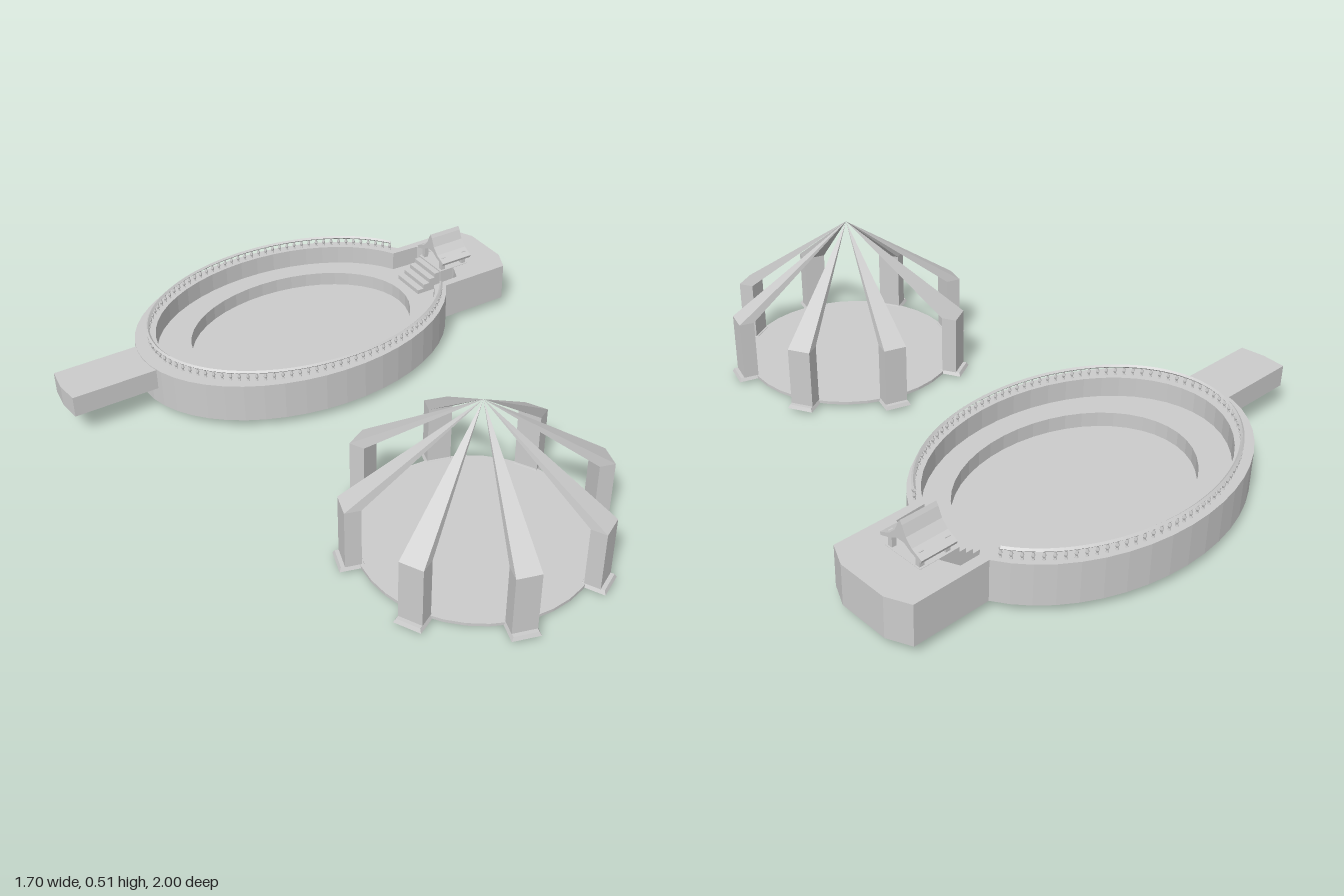
import * as THREE from 'three';

const mat = new THREE.MeshStandardMaterial({ color: 0xcccccc, flatShading: true, side: THREE.DoubleSide });

function add(parent, name, geometry, x = 0, y = 0, z = 0) {
  const mesh = new THREE.Mesh(geometry, mat);
  mesh.name = name;
  mesh.position.set(x, y, z);
  parent.add(mesh);
  return mesh;
}

// Points of an elliptical arc in plan
function arc(cx, rx, rz, from, to, n) {
  return Array.from({ length: n + 1 }, (_, i) => {
    const t = from + (to - from) * i / n;
    return new THREE.Vector2(cx + rx * Math.cos(t), rz * Math.sin(t));
  });
}

const points = (list) => list.map(([x, y]) => new THREE.Vector2(x, y));

// Horizontal slab from a plan outline, with an optional hole
function slab(outline, hole, y0, y1) {
  const shape = new THREE.Shape(outline);
  if (hole) shape.holes.push(new THREE.Path(hole));
  const g = new THREE.ExtrudeGeometry(shape, { depth: y1 - y0, bevelEnabled: false });
  return g.rotateX(-Math.PI / 2).translate(0, y0, 0);
}

function createPavilion() {
  const g = new THREE.Group();
  g.name = 'pavilion';
  g.position.set(-0.034, 0, 0.582);

  // Round floor with a very shallow conical underside
  add(g, 'pavilionFloor', new THREE.LatheGeometry(
    points([[0, 0], [0.364, 0.012], [0.364, 0.022], [0, 0.022]]), 36));

  // Eight columns, each with a foot and a rafter tapering to the apex
  for (let i = 0; i < 8; i++) {
    const leg = new THREE.Group();
    leg.name = 'columnAndRafter';
    leg.rotation.y = THREE.MathUtils.degToRad(28 + 45 * i);
    g.add(leg);
    add(leg, 'column', new THREE.BoxGeometry(0.05, 0.21, 0.076), 0.382, 0.12, 0);

    const rafter = new THREE.BoxGeometry(0.05, 0.29, 0.076).translate(0.382, 0.37, 0);
    const p = rafter.attributes.position;
    for (let k = 0; k < p.count; k++) if (p.getY(k) > 0.4) p.setXYZ(k, 0, 0.512, 0);
    rafter.computeVertexNormals();
    add(leg, 'rafter', rafter);

    const foot = new THREE.CylinderGeometry(0.06, 0.07, 0.012, 4, 1).rotateY(Math.PI / 4);
    add(leg, 'columnFoot', foot.scale(0.8, 1, 0.88), 0.385, 0.018, 0);
  }
  return g;
}

function createPool() {
  const g = new THREE.Group();
  g.name = 'pool';
  g.position.z = -0.577;
  const TAU = Math.PI * 2;

  // Outer wall: an ellipse joined to the entrance platform
  const a = Math.asin(0.16 / 0.42), b = Math.asin(0.135 / 0.38);
  const outer = [...arc(0.015, 0.58, 0.42, a, TAU - a, 44),
    ...points([[0.81, -0.16], [0.845, -0.085], [0.845, 0.085], [0.81, 0.16]])];
  const inner = [...arc(0.03, 0.52, 0.38, b, TAU - b, 44),
    ...points([[0.62, -0.13], [0.645, -0.075], [0.645, 0.075], [0.62, 0.13]])];
  add(g, 'outerWall', slab(outer, inner, 0.032, 0.168));

  // Inner ledge and sunken floor
  add(g, 'innerLedge', slab(inner, arc(0.045, 0.412, 0.305, 0, TAU, 44), 0.032, 0.1));
  add(g, 'poolFloor', slab(arc(0.045, 0.44, 0.335, 0, TAU, 44), null, 0.022, 0.05));

  // Raised channel leading away from the wall
  add(g, 'channel', slab(points([[-0.53, 0.082], [-0.843, 0.082], [-0.852, 0],
    [-0.843, -0.082], [-0.53, -0.082]]), null, 0.092, 0.165));

  // Balustrade, open at the entrance
  const rail = arc(0.03, 0.545, 0.395, 0.445, TAU - 0.445, 96);
  const curve = new THREE.CatmullRomCurve3(rail.map((v) => new THREE.Vector3(v.x, 0.199, v.y)));
  add(g, 'handrail', new THREE.TubeGeometry(curve, 96, 0.006, 4));
  const baluster = new THREE.LatheGeometry(points([[0.006, 0], [0.003, 0.008], [0.006, 0.016],
    [0.003, 0.026], [0.005, 0.032]]), 6);
  curve.getSpacedPoints(92).forEach((v) => add(g, 'baluster', baluster, v.x, 0.166, v.z));

  // Steps from the entrance down to the ledge
  const edges = [0.495, 0.52, 0.545, 0.568];
  edges.forEach((x, i) => {
    const h = 0.016 * (i + 1);
    add(g, 'step', new THREE.BoxGeometry(0.595 - x, h, 0.13), (x + 0.595) / 2, 0.1 + h / 2, 0);
  });
  add(g, 'gatehouseBase', new THREE.BoxGeometry(0.12, 0.07, 0.14), 0.65, 0.134, 0);

  // Gatehouse: four posts under a roof with concave slopes
  for (const x of [0.607, 0.697])
    for (const z of [-0.055, 0.055])
      add(g, 'gatehousePost', new THREE.BoxGeometry(0.016, 0.055, 0.016), x, 0.19, z);
  const half = [[0.008, 0.278], [0.022, 0.247], [0.045, 0.224], [0.083, 0.206]];
  const under = [[0.08, 0.197], [0.04, 0.211], [0.015, 0.226]];
  const mirror = (list) => list.map(([x, y]) => [-x, y]).reverse();
  const section = new THREE.Shape(points([[0, 0.29], ...half, ...under,
    ...mirror(under), ...mirror(half)]));
  const roof = new THREE.ExtrudeGeometry(section, { depth: 0.124, bevelEnabled: false });
  add(g, 'gatehouseRoof', roof.rotateY(Math.PI / 2), 0.591, 0, 0);
  return g;
}

export function createModel() {
  const model = new THREE.Group();
  model.name = 'poolAndPavilion';
  model.add(createPavilion(), createPool());
  return model;
}
